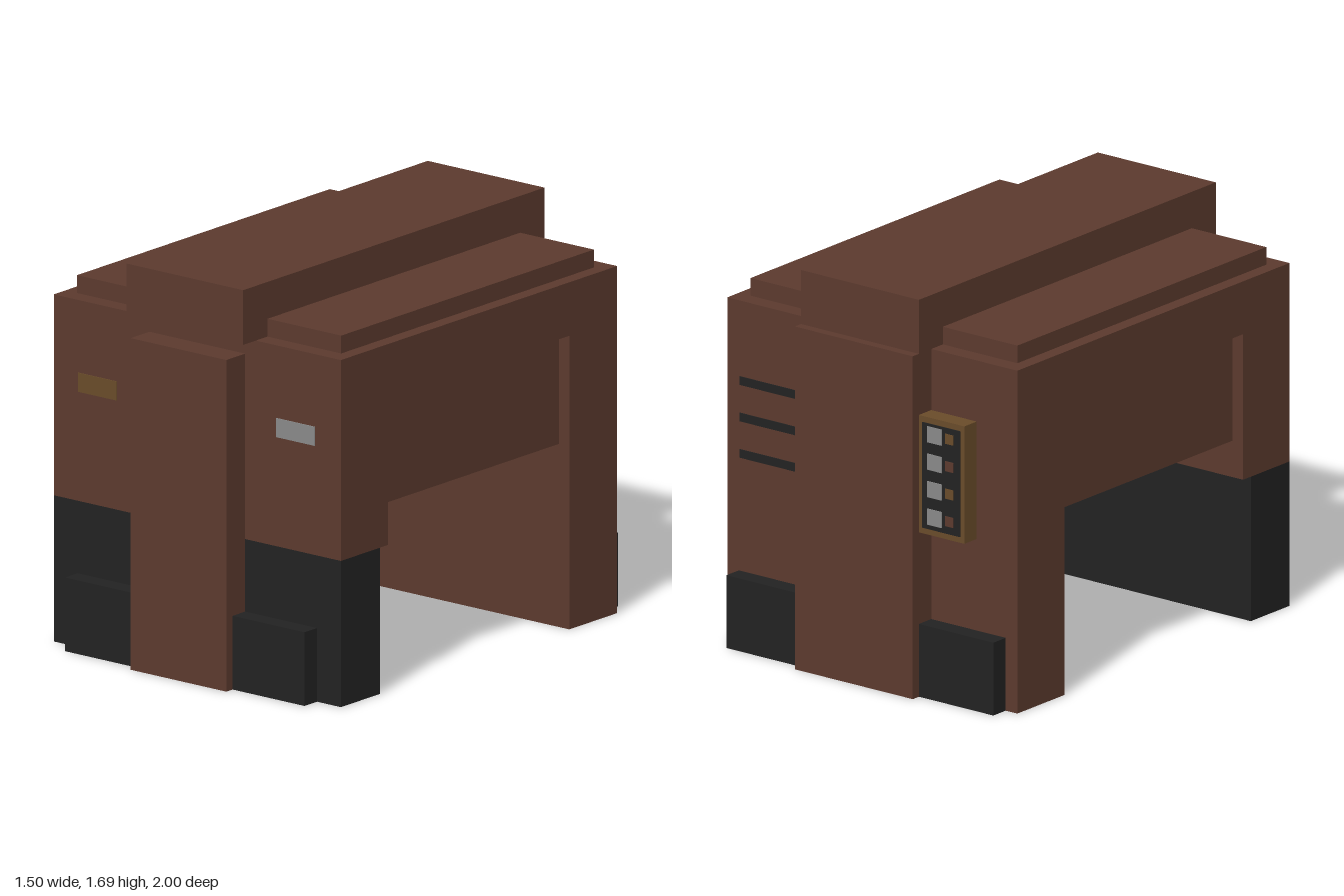
import * as THREE from 'three';

const mat = (name, color) => {
  const m = new THREE.MeshStandardMaterial({ color });
  m.name = name;
  return m;
};

export function createModel() {
  const brown = mat('brown casing', 0x5c3a2e);
  const black = mat('black base', 0x222222);
  const gold = mat('dull gold', 0x6a4c2a);
  const silver = mat('silver', 0x8a8a8a);

  const model = new THREE.Group();
  model.name = 'archMachine';

  // Box given by its extents on each axis
  const box = (name, material, [x0, x1], [y0, y1], [z0, z1], parent = model) => {
    const mesh = new THREE.Mesh(new THREE.BoxGeometry(x1 - x0, y1 - y0, z1 - z0), material);
    mesh.position.set((x0 + x1) / 2, (y0 + y1) / 2, (z0 + z1) / 2);
    mesh.name = name;
    parent.add(mesh);
    return mesh;
  };

  // Arch frame: side profile (z, y) extruded across the width
  const profile = new THREE.Shape([
    [-0.88, 0], [-0.575, 0], [-0.575, 1.235], [0.58, 1.235],
    [0.58, 0.615], [0.88, 0.615], [0.88, 1.46], [-0.88, 1.46],
  ].map(([z, y]) => new THREE.Vector2(z, y)));
  const frameGeo = new THREE.ExtrudeGeometry(profile, { depth: 1.5, bevelEnabled: false });
  frameGeo.rotateY(-Math.PI / 2).translate(0.75, 0, 0);
  const frame = new THREE.Mesh(frameGeo, brown);
  frame.name = 'archFrame';
  model.add(frame);

  // Dark lower half of the front leg
  box('frontLegBase', black, [-0.75, 0.75], [0, 0.615], [0.63, 0.88]);

  // Columns and roof
  box('frontColumn', brown, [-0.25, 0.25], [0, 1.395], [0.88, 1]);
  box('backColumn', brown, [-0.305, 0.305], [0, 1.46], [-1, -0.88]);
  box('roofSlab', brown, [-0.69, 0.69], [1.46, 1.535], [-0.805, 0.805]);
  box('roofBeam', brown, [-0.305, 0.305], [1.46, 1.69], [-0.96, 0.96]);

  // Mirrored side panels and kick plates
  for (const s of [-1, 1]) {
    const side = s > 0 ? 'left' : 'right';
    const span = (a, b) => (s > 0 ? [a, b] : [-b, -a]);
    box(`${side}SidePanel`, brown, span(0.625, 0.695), [0.77, 1.235], [-0.575, 0.58]);
    box(`${side}FrontKickPlate`, black, span(0.25, 0.625), [0, 0.31], [0.88, 0.96]);
    box(`${side}BackKickPlate`, black, span(0.305, 0.69), [0, 0.31], [-0.96, -0.88]);
  }

  // Front plates
  box('goldPlate', gold, [-0.62, -0.42], [1.075, 1.155], [0.88, 0.884]);
  box('silverPlate', silver, [0.415, 0.615], [1.075, 1.155], [0.88, 0.884]);

  // Vent slots on the back
  for (const y of [1.12, 0.965, 0.81]) {
    box('ventSlot', black, [0.385, 0.685], [y - 0.018, y + 0.018], [-0.884, -0.88]);
  }

  // Control panel on the back
  const controls = new THREE.Group();
  controls.name = 'controlPanel';
  model.add(controls);
  box('controlHousing', gold, [-0.54, -0.305], [0.7, 1.2], [-0.96, -0.88], controls);
  box('controlFace', black, [-0.52, -0.325], [0.725, 1.175], [-0.964, -0.96], controls);
  for (let i = 0; i < 4; i++) {
    const y = 1.13 - i * 0.117;
    box('button', silver, [-0.428, -0.352], [y - 0.034, y + 0.034], [-0.968, -0.964], controls);
    box('indicator', i % 2 ? brown : gold, [-0.488, -0.446], [y - 0.021, y + 0.021], [-0.968, -0.964], controls);
  }

  return model;
}
